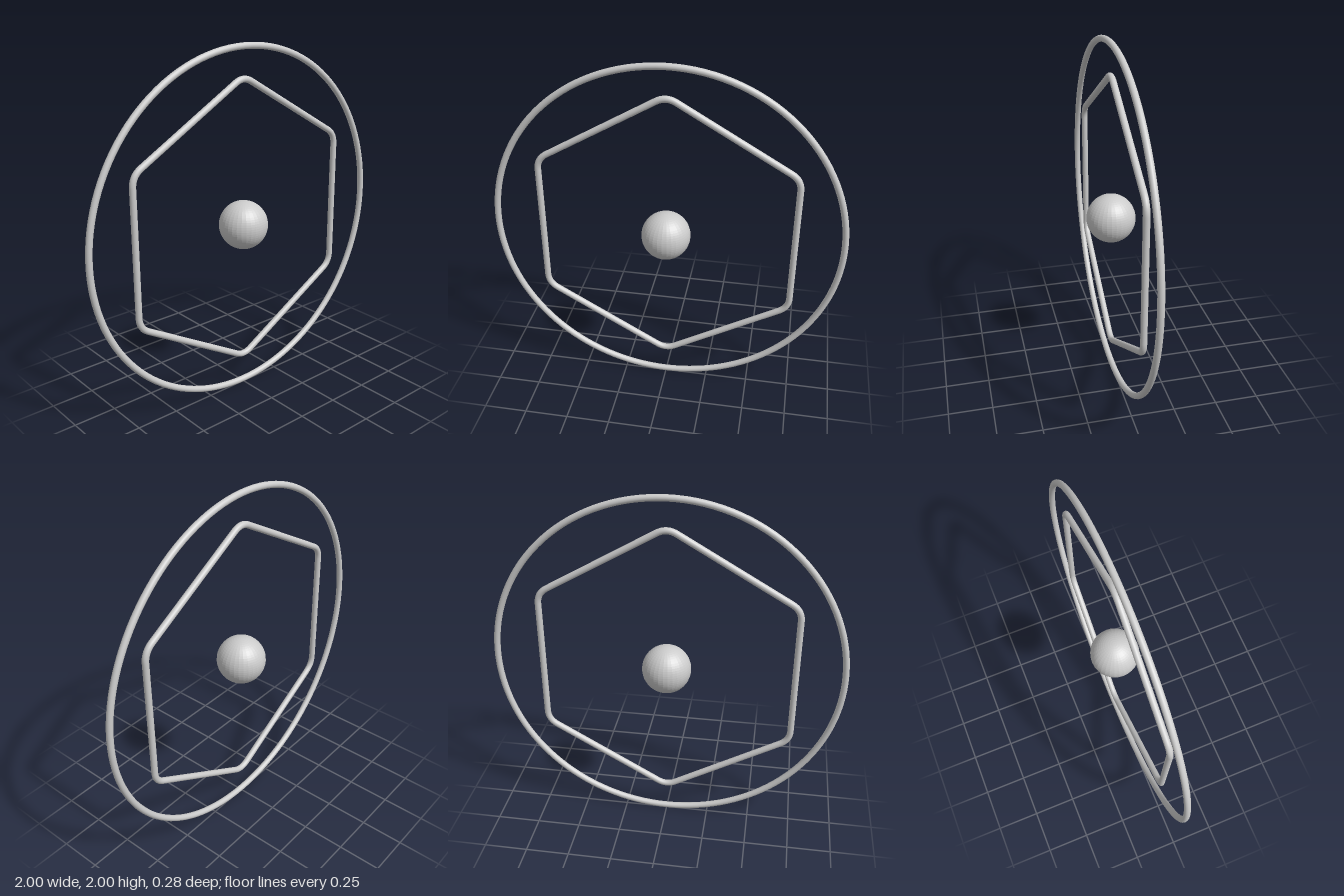
import * as THREE from 'three';

const TUBE = 0.018;

// Closed hexagon path, point up, with softly rounded corners
function hexagonPath(radius, cut) {
  const corners = Array.from({ length: 6 }, (_, i) => {
    const a = Math.PI / 2 + i * Math.PI / 3;
    return new THREE.Vector3(Math.cos(a) * radius, Math.sin(a) * radius, 0);
  });
  const path = new THREE.CurvePath();
  const f = cut / radius; // side length equals the radius
  for (let i = 0; i < 6; i++) {
    const a = corners[i], b = corners[(i + 1) % 6], c = corners[(i + 2) % 6];
    const start = a.clone().lerp(b, f);
    const end = a.clone().lerp(b, 1 - f);
    path.add(new THREE.LineCurve3(start, end));
    path.add(new THREE.QuadraticBezierCurve3(end, b, b.clone().lerp(c, f)));
  }
  return path;
}

export function createModel() {
  const group = new THREE.Group();
  const material = new THREE.MeshStandardMaterial({ color: 0xcccccc });
  const faceted = new THREE.MeshStandardMaterial({ color: 0xcccccc, flatShading: true });

  const add = (name, geometry, mat = material) => {
    const mesh = new THREE.Mesh(geometry, mat);
    mesh.name = name;
    mesh.position.y = 1;
    group.add(mesh);
  };

  // Round outer hoop
  add('outerRing', new THREE.TorusGeometry(1 - TUBE, TUBE, 16, 128));
  // Hexagonal hoop inside it
  add('hexagonFrame', new THREE.TubeGeometry(hexagonPath(0.826, 0.062), 360, TUBE, 16, true));
  // Floating ball in the middle
  add('centreBall', new THREE.SphereGeometry(0.138, 32, 32), faceted);

  return group;
}
